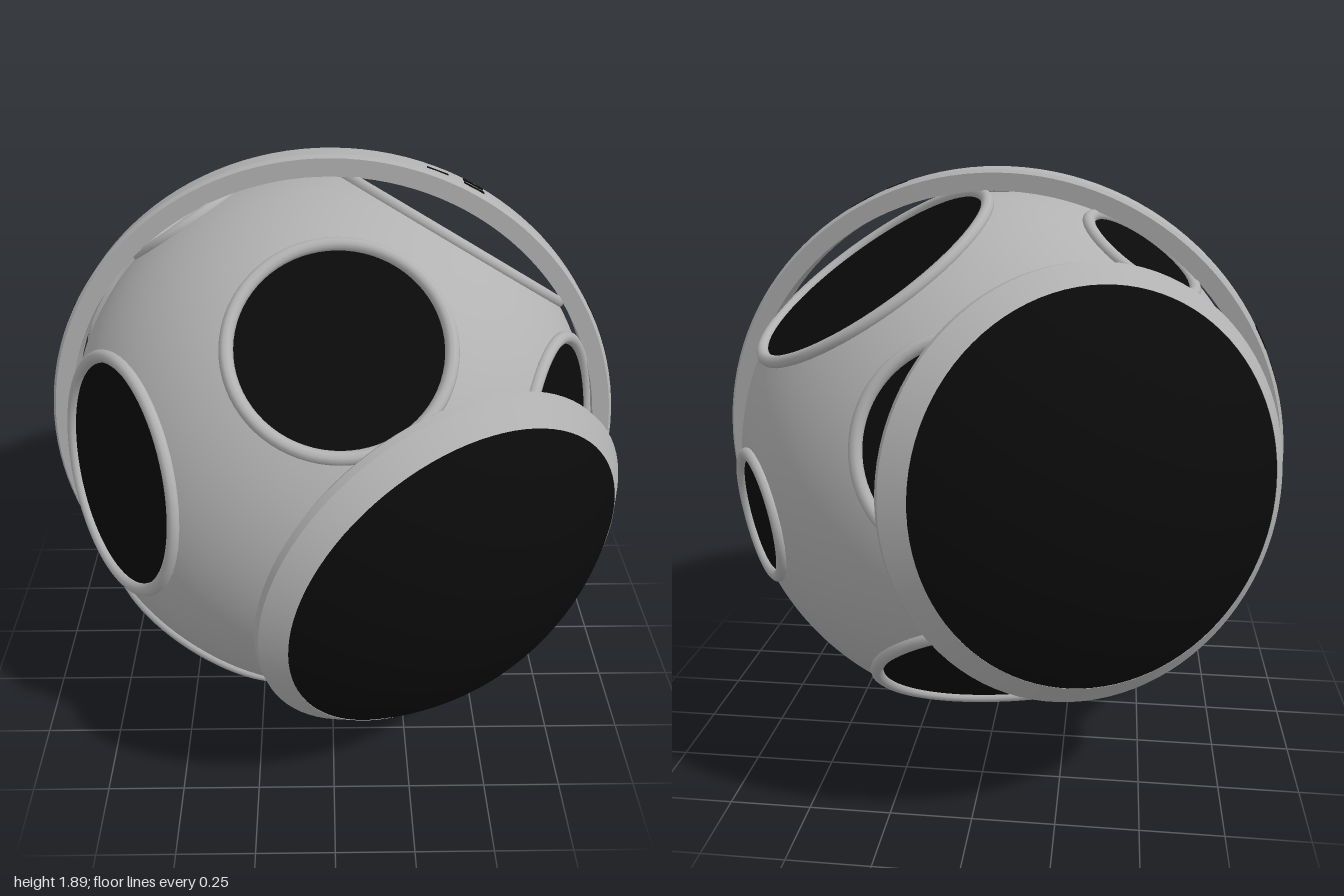
import * as THREE from 'three';

const R = 0.865; // globe radius
const V = (a) => new THREE.Vector3(...a);
const UP = new THREE.Vector3(0, 1, 0);
const FWD = new THREE.Vector3(0, 0, 1);

// portholes: direction from the globe centre, visible radius
const PORTS = [
  [[0.015, 0.60, 0.54], 0.29],
  [[-0.655, 0.11, 0.43], 0.345],
  [[-0.41, -0.62, 0.21], 0.37],
  [[0.45, -0.65, 0.17], 0.29],
  [[0.70, 0.12, 0.35], 0.345],
  [[0.38, 0.62, -0.205], 0.41],
  [[-0.46, 0.685, -0.18], 0.18],
  [[0.70, -0.105, -0.465], 0.18],
  [[-0.10, -0.56, -0.49], 0.41],
  [[0.0, 0.22, -0.79], 0.29],
  [[-0.76, -0.12, -0.33], 0.18],
].map(([dir, r]) => ({ n: V(dir).normalize(), r, d: Math.sqrt(R * R - (r + 0.017) ** 2) }));

// lathe with sharp corners: every profile point is doubled
function ringLathe(points, segments) {
  const pts = points.flatMap(([x, y]) => [new THREE.Vector2(x, y), new THREE.Vector2(x, y)]);
  return new THREE.LatheGeometry(pts.slice(1, -1), segments);
}

export function createModel() {
  const shellMat = new THREE.MeshStandardMaterial({ color: 0xb2b2b2 });
  shellMat.name = 'shell grey';
  const glassMat = new THREE.MeshStandardMaterial({ color: 0x0a0a0a });
  glassMat.name = 'glass black';

  const model = new THREE.Group();
  model.name = 'lensGlobe';
  const body = new THREE.Group();
  body.name = 'body';
  body.position.y = 0.95;
  model.add(body);

  const add = (parent, name, geo, mat) => {
    const mesh = new THREE.Mesh(geo, mat);
    mesh.name = name;
    parent.add(mesh);
    return mesh;
  };

  // globe, flattened under each porthole
  const globe = new THREE.SphereGeometry(R, 224, 144);
  const pos = globe.attributes.position;
  const p = new THREE.Vector3();
  for (let i = 0; i < pos.count; i++) {
    p.fromBufferAttribute(pos, i);
    for (const { n, d } of PORTS) {
      const h = p.dot(n);
      if (h > d) p.multiplyScalar((d - 0.006) / h);
    }
    pos.setXYZ(i, p.x, p.y, p.z);
  }
  add(body, 'globe', globe, shellMat);

  // portholes: dark pane in a rounded rim
  for (const { n, r, d } of PORTS) {
    const port = new THREE.Group();
    port.name = 'porthole';
    port.quaternion.setFromUnitVectors(FWD, n);
    port.position.copy(n).multiplyScalar(d);
    add(port, 'portholePane', new THREE.CircleGeometry(r + 0.015, 64), glassMat);
    add(port, 'portholeRim', new THREE.TorusGeometry(r + 0.017, 0.02, 10, 72), shellMat);
    body.add(port);
  }

  // two large opposed lenses
  const axis = V([0.455, -0.115, 0.885]).normalize();
  const rimProfile = [[0.55, 0.70], [0.595, 0.70], [0.622, 0.725], [0.622, 0.75], [0.56, 0.812], [0.55, 0.70]];
  const domeR = 0.884;
  for (const side of [1, -1]) {
    const lens = new THREE.Group();
    lens.name = side > 0 ? 'frontLens' : 'backLens';
    lens.quaternion.setFromUnitVectors(UP, axis.clone().multiplyScalar(side));
    add(lens, 'lensRim', ringLathe(rimProfile, 96), shellMat);
    const dome = new THREE.SphereGeometry(domeR, 96, 20, 0, Math.PI * 2, 0, Math.asin(0.562 / domeR));
    add(lens, 'lensDome', dome, glassMat).position.y = 0.126;
    const back = add(lens, 'lensBackPlate', new THREE.CircleGeometry(0.56, 64), shellMat);
    back.rotation.x = Math.PI / 2;
    back.position.y = 0.72;
    body.add(lens);
  }

  // tilted equipment ring around the globe
  const ring = new THREE.Group();
  ring.name = 'outerRing';
  ring.quaternion.setFromUnitVectors(FWD, V([-0.03, 0.09, 1]).normalize());
  const hoop = ringLathe([[0.88, -0.055], [0.935, -0.055], [0.945, -0.042], [0.945, 0.042],
    [0.935, 0.055], [0.88, 0.055], [0.88, -0.055]], 128);
  hoop.rotateX(Math.PI / 2);
  add(ring, 'ringHoop', hoop, shellMat);

  // small dark slots on the outside of the ring: angle offset, z, length, width
  const SLOTS = [[-3.5, 0.018, 0.07, 0.018], [-3.5, -0.02, 0.07, 0.018], [4, 0.012, 0.07, 0.009]];
  for (const centre of [66, 24, -20, -64, -156, 157]) {
    for (const [offset, z, length, width] of SLOTS) {
      const a = THREE.MathUtils.degToRad(centre + offset);
      const slot = add(ring, 'ringSlot', new THREE.BoxGeometry(0.006, length, width), glassMat);
      slot.position.set(0.944 * Math.cos(a), 0.944 * Math.sin(a), z);
      slot.rotation.z = a;
    }
  }
  body.add(ring);

  return model;
}
